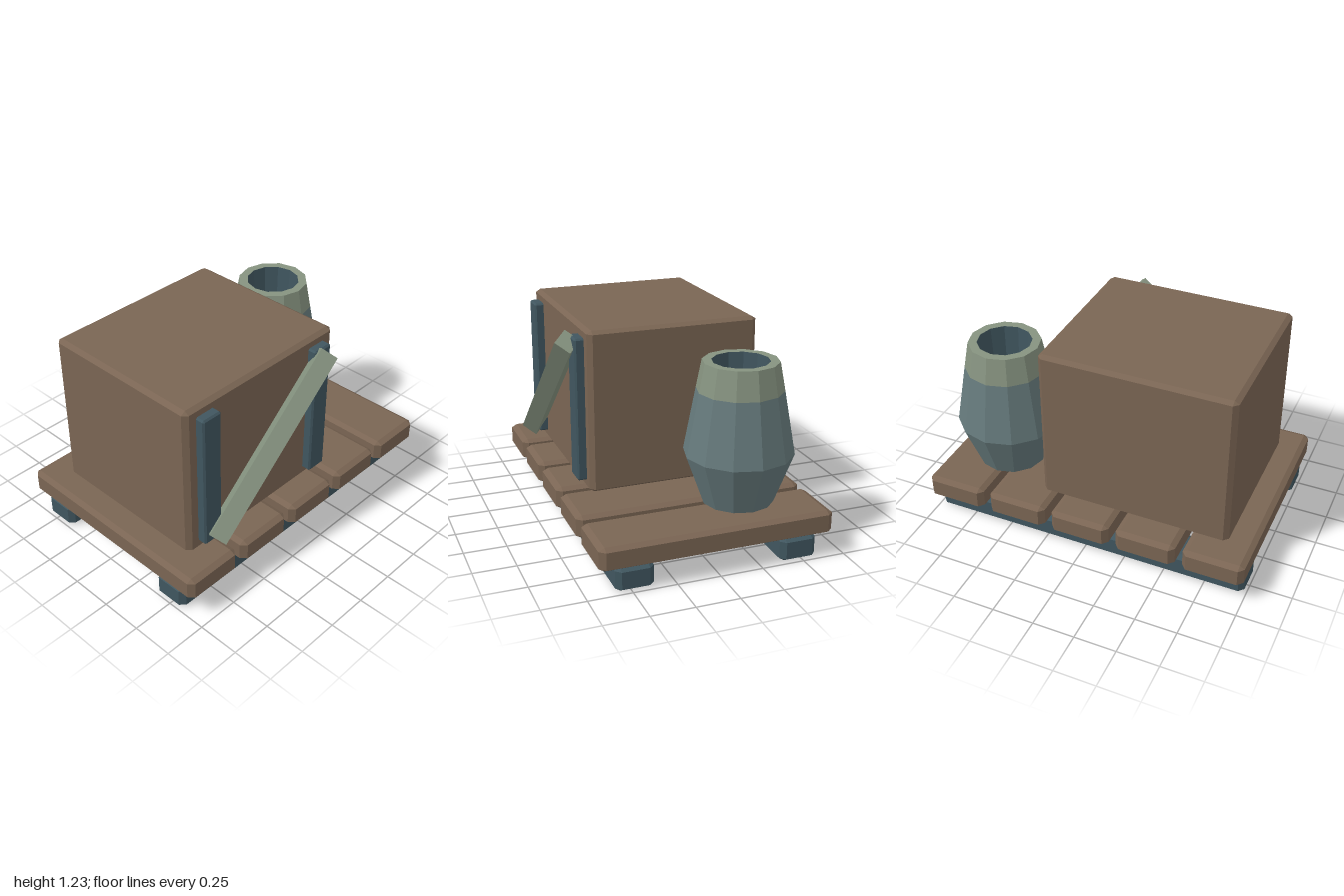
import * as THREE from 'three';
import { ConvexGeometry } from 'three/addons/geometries/ConvexGeometry.js';

const paint = (color) => new THREE.MeshStandardMaterial({ color, flatShading: true });

// Box with all edges cut; c holds the chamfer along x, y and z
function chamferBox(w, h, d, c) {
  const points = [];
  for (const x of [-1, 1]) for (const y of [-1, 1]) for (const z of [-1, 1]) {
    const a = [w / 2, h / 2, d / 2];
    for (let face = 0; face < 3; face++) {
      const p = a.map((v, i) => (i === face ? v : v - c[i]));
      points.push(new THREE.Vector3(x * p[0], y * p[1], z * p[2]));
    }
  }
  return new ConvexGeometry(points);
}

export function createModel() {
  const model = new THREE.Group();
  model.name = 'loadedPallet';
  const brown = paint(0x7a6553);
  const blue = paint(0x40565f);
  const steel = paint(0x667a7c);
  const sage = paint(0x869380);

  const add = (name, geometry, material, x, y, z, parent = model) => {
    const mesh = new THREE.Mesh(geometry, material);
    mesh.name = name;
    mesh.position.set(x, y, z);
    parent.add(mesh);
    return mesh;
  };

  // Pallet: two runners under five planks
  const pallet = new THREE.Group();
  pallet.name = 'pallet';
  model.add(pallet);
  const runner = chamferBox(1.97, 0.137, 0.216, [0.03, 0.018, 0.03]);
  for (const z of [-0.478, 0.478]) add('runner', runner, blue, 0, 0.0685, z, pallet);
  const plank = chamferBox(0.364, 0.135, 1.356, [0.03, 0.018, 0.034]);
  for (let i = -2; i <= 2; i++) add('plank', plank, brown, i * 0.409, 0.2045, 0, pallet);

  // Crate with two battens and a diagonal brace on the front
  const crate = new THREE.Group();
  crate.name = 'crate';
  model.add(crate);
  add('crateBody', chamferBox(1.155, 0.953, 1.018, [0.028, 0.018, 0.028]), brown, -0.273, 0.7485, 0, crate);
  const batten = chamferBox(0.13, 0.845, 0.09, [0.01, 0.01, 0.01]);
  for (const x of [-0.71, 0.16]) add('batten', batten, blue, x, 0.748, 0.518, crate);
  const dx = 0.88, dy = 0.79;
  const brace = new THREE.CylinderGeometry(0.075, 0.075, Math.hypot(dx, dy), 4);
  add('diagonalBrace', brace, sage, -0.275, 0.75, 0.585, crate).rotation.z = -Math.atan2(dx, dy);

  // Twelve-sided barrel, open at the top
  const barrel = new THREE.Group();
  barrel.name = 'barrel';
  barrel.position.set(0.65, 0, -0.248);
  model.add(barrel);
  const lathe = (...p) => new THREE.LatheGeometry(p.map(([r, y]) => new THREE.Vector2(r, y)), 12);
  add('barrelBody', lathe([0, 0.272], [0.205, 0.272], [0.312, 0.56], [0.245, 0.925]), steel, 0, 0, 0, barrel);
  add('barrelRim', lathe([0.245, 0.925], [0.214, 1.088], [0.162, 1.088]), sage, 0, 0, 0, barrel);
  add('barrelInside', lathe([0.162, 1.088], [0.142, 0.75], [0, 0.75]), blue, 0, 0, 0, barrel);

  return model;
}
